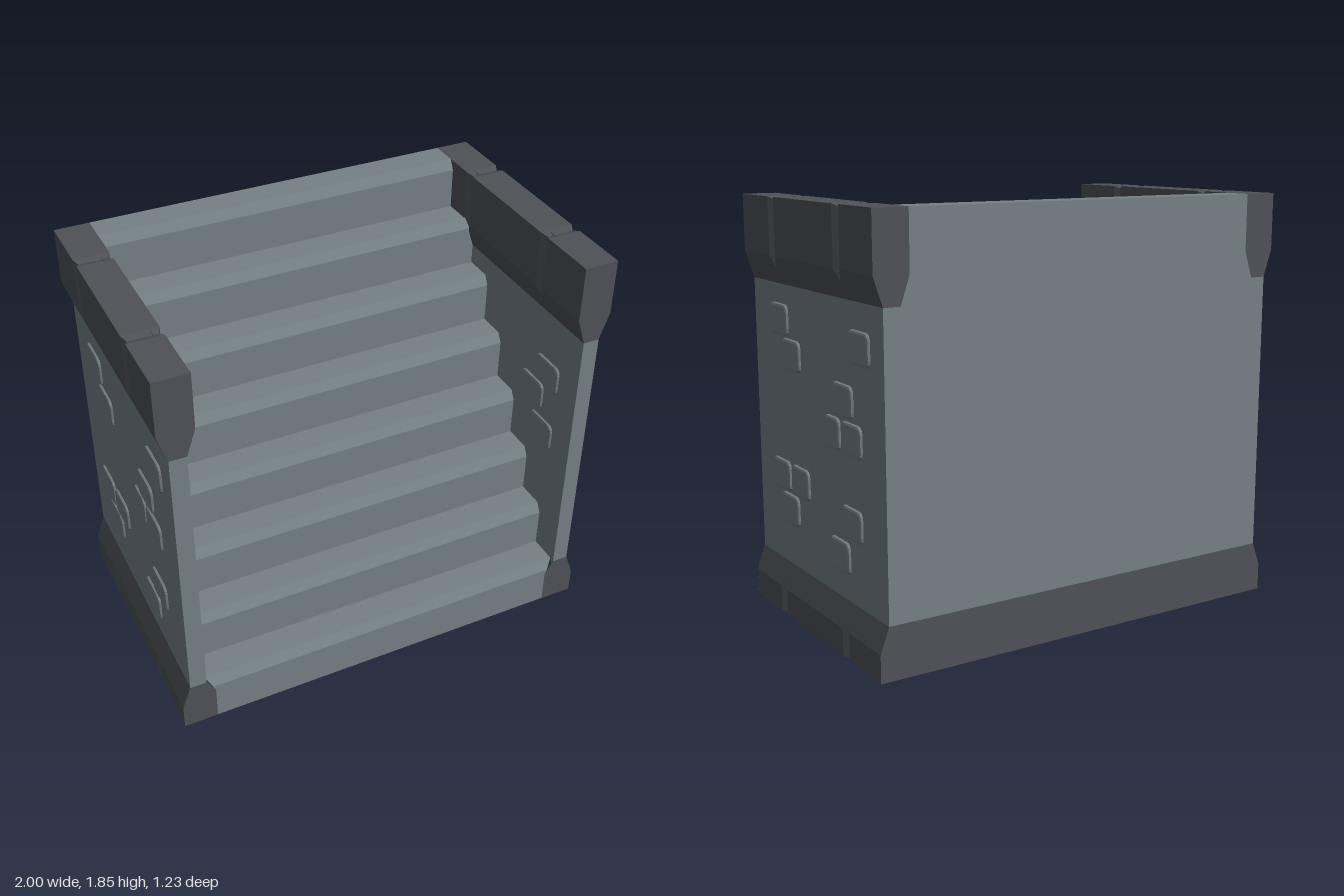
import * as THREE from 'three';

const D = 0.615, H = 1.85, STEPS = 8, RISE = H / STEPS, RUN = 2 * D / STEPS;

export function createModel() {
  const stone = new THREE.MeshStandardMaterial({ color: 0x758086, side: THREE.DoubleSide });
  stone.name = 'stone grey';
  const trim = new THREE.MeshStandardMaterial({ color: 0x4f5157, side: THREE.DoubleSide });
  trim.name = 'dark trim grey';

  const model = new THREE.Group();
  model.name = 'staircase';

  const add = (parent, name, geometry, material) => {
    const mesh = new THREE.Mesh(geometry, material);
    mesh.name = name;
    parent.add(mesh);
    return mesh;
  };

  // Faceted surface through rows of points
  const sheet = (rows) => {
    const pos = [];
    for (let i = 0; i < rows.length - 1; i++) {
      for (let j = 0; j < rows[i].length - 1; j++) {
        const a = rows[i][j], b = rows[i + 1][j], c = rows[i + 1][j + 1], d = rows[i][j + 1];
        pos.push(...a, ...b, ...c, ...a, ...c, ...d);
      }
    }
    const g = new THREE.BufferGeometry();
    g.setAttribute('position', new THREE.Float32BufferAttribute(pos, 3));
    g.computeVertexNormals();
    return g;
  };

  const outline = (pts) => new THREE.ShapeGeometry(new THREE.Shape(pts.map(([x, y]) => new THREE.Vector2(x, y))));

  // Flat panel at depth z, facing away from the centre
  const panel = (pts, z) => {
    const g = outline(z < 0 ? pts.map(([x, y]) => [-x, y]) : pts);
    if (z < 0) g.rotateY(Math.PI);
    return g.translate(0, 0, z);
  };

  // Steps: riser, chamfered nosing, tread; each point is [z, y, half width]
  const profile = [[D, 0, 0.845]];
  for (let i = 0; i < STEPS; i++) {
    const z = D - i * RUN, y = (i + 1) * RISE, last = i === STEPS - 1;
    const w = last ? 0.845 : 0.885;
    profile.push([z, y - 0.045, i === 0 ? 0.855 : w], [z - 0.025, y, w], [z - RUN, y, w]);
  }
  add(model, 'steps', sheet(profile.map(([z, y, w]) => [[w, y, z], [-w, y, z]])), stone);

  // Back wall and its base strip
  const halfBack = [[0.96, 0.23], [0.96, 1.48], [0.885, 1.48], [0.845, 1.6], [0.845, H]];
  const mirrored = (pts) => [...pts, ...pts.map(([x, y]) => [-x, y]).reverse()];
  add(model, 'backWall', panel(mirrored(halfBack), -D), stone);
  add(model, 'backBaseTrim', panel(mirrored([[1, 0], [1, 0.12], [0.96, 0.23]]), -D), trim);

  // Trim profiles, plain and at the bottom of a groove
  const cap = [[0.96, 1.48], [1, 1.6], [1, H], [0.845, H], [0.845, 1.6], [0.885, 1.48]];
  const capGroove = [[0.96, 1.48], [0.985, 1.555], [0.985, H - 0.01], [0.86, H - 0.01], [0.86, 1.555], [0.885, 1.48]];
  const base = [[1, 0], [1, 0.12], [0.96, 0.23]];
  const baseGroove = [[0.985, 0], [0.985, 0.161], [0.96, 0.23]];
  const stations = [[D], [0.34], [0.31, true], [0.28], [-0.28], [-0.31, true], [-0.34], [-D]];
  const loft = (plain, groove) =>
    sheet(stations.map(([z, cut]) => (cut ? groove : plain).map(([x, y]) => [x, y, z])));

  // Raised brick facing +z
  const brick = (w, h) => {
    const bevel = 0.012, r = 0.022, x = w / 2 - bevel, y = h / 2 - bevel;
    const s = new THREE.Shape();
    s.moveTo(-x + r, -y);
    s.lineTo(x - r, -y);
    s.quadraticCurveTo(x, -y, x, -y + r);
    s.lineTo(x, y - r);
    s.quadraticCurveTo(x, y, x - r, y);
    s.lineTo(-x + r, y);
    s.quadraticCurveTo(-x, y, -x, y - r);
    s.lineTo(-x, -y + r);
    s.quadraticCurveTo(-x, -y, -x + r, -y);
    return new THREE.ExtrudeGeometry(s, {
      depth: 0.002, bevelThickness: 0.01, bevelSize: bevel, bevelSegments: 2, curveSegments: 3,
    });
  };

  // Bricks as [z, y, width]
  const outerBricks = [
    [0.345, 1.325], [0.23, 1.18], [-0.415, 1.3], [-0.26, 1.07], [-0.16, 0.92, 0.14], [-0.333, 0.92],
    [0.363, 0.63], [0.17, 0.63], [0.284, 0.485], [-0.323, 0.57], [-0.206, 0.41],
  ];
  const innerBricks = [[0.39, 1.185], [0.29, 1.04], [0.39, 0.87]];

  for (const side of [1, -1]) {
    const half = new THREE.Group();
    half.name = side > 0 ? 'leftSide' : 'rightSide';
    half.scale.x = side;
    model.add(half);

    // Side wall: outer face, front edge, and inner face above the steps
    add(half, 'outerWall', sheet([D, -D].map((z) => [[0.96, 0.23, z], [0.96, 1.48, z]])), stone);
    add(half, 'wallFrontEdge', panel([[0.885, 0.2], [0.96, 0.23], [0.96, 1.48], [0.885, 1.48]], D), stone);
    const inner = outline([...profile.slice(1).map(([z, y]) => [z, y]), [D, H]]);
    add(half, 'innerWall', inner.rotateY(-Math.PI / 2).translate(0.885, 0, 0), stone);

    // Top rail and base trim with end faces
    add(half, 'topRail', loft(cap, capGroove), trim);
    add(half, 'topRailFrontEnd', panel(cap, D), trim);
    add(half, 'topRailBackEnd', panel(cap, -D), trim);
    add(half, 'baseTrim', loft(base, baseGroove), trim);
    add(half, 'baseTrimFrontEnd',
      panel([[0.845, 0], [1, 0], [1, 0.12], [0.96, 0.23], [0.882, 0.23], [0.845, 0.165]], D + 0.001), trim);

    // The outer pattern is turned half way round on the opposite side
    for (const [z, y, w = 0.178] of outerBricks) {
      const b = add(half, 'outerBrick', brick(w, 0.138), stone);
      b.position.set(0.96, y, z * side);
      b.rotation.y = Math.PI / 2;
    }
    for (const [z, y] of innerBricks) {
      const b = add(half, 'innerBrick', brick(0.178, 0.138), stone);
      b.position.set(0.885, y, z);
      b.rotation.y = -Math.PI / 2;
    }
  }
  return model;
}
